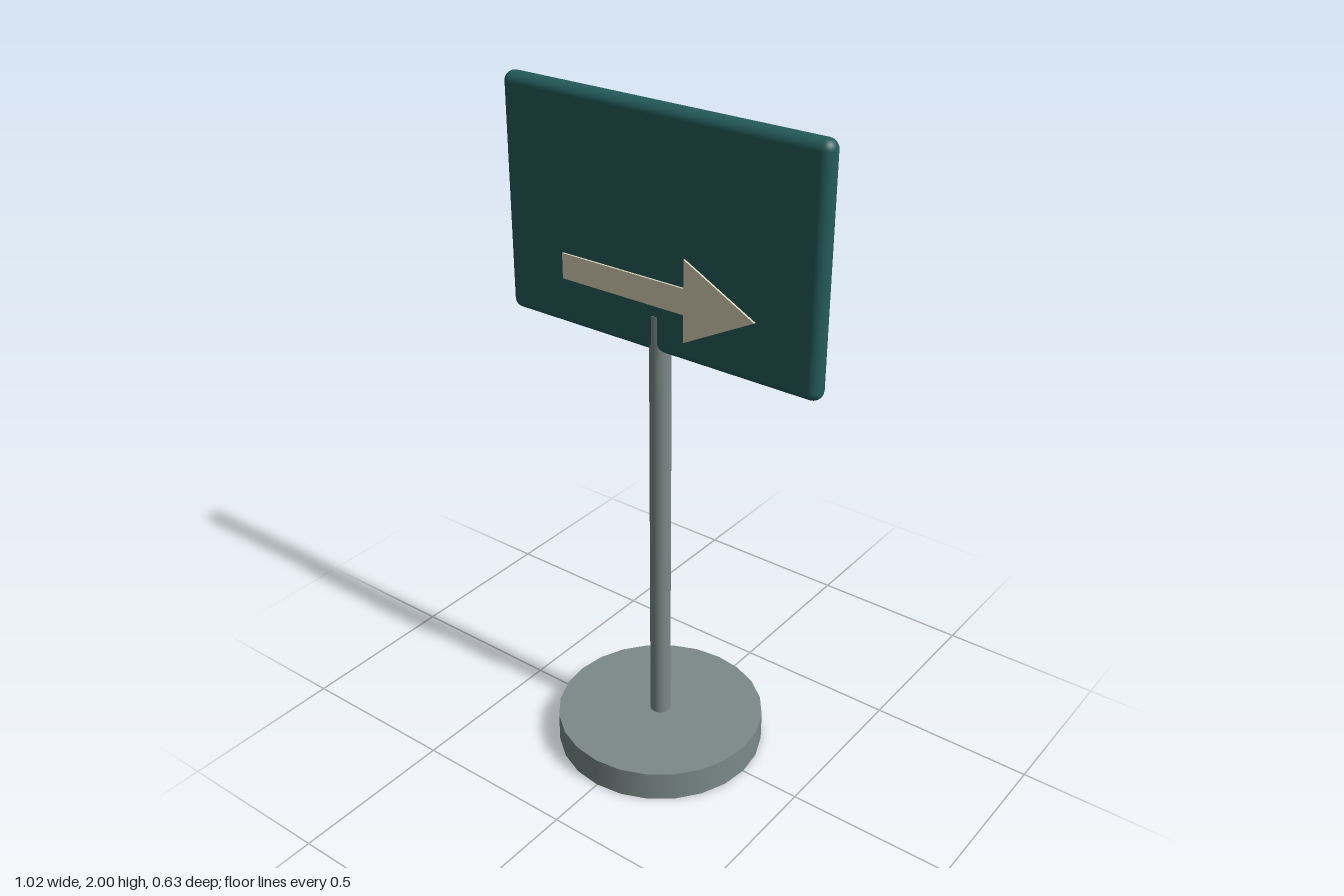
import * as THREE from 'three';
import { RoundedBoxGeometry } from 'three/addons/geometries/RoundedBoxGeometry.js';

const material = (name, color) => {
  const m = new THREE.MeshStandardMaterial({ color });
  m.name = name;
  return m;
};

export function createModel() {
  const group = new THREE.Group();
  group.name = 'signpost';
  const metal = material('grey metal', 0x7b8a89);
  const teal = material('teal board', 0x245c5b);
  const cream = material('cream arrow', 0xd8d0b6);
  const rubber = material('black rubber', 0x222627);

  const add = (name, geometry, mat, y = 0, z = 0) => {
    const mesh = new THREE.Mesh(geometry, mat);
    mesh.name = name;
    mesh.position.set(0, y, z);
    group.add(mesh);
  };
  // Upright cylinder between two heights
  const post = (name, radius, y0, y1, sides, mat) =>
    add(name, new THREE.CylinderGeometry(radius, radius, y1 - y0, sides), mat, (y0 + y1) / 2);

  // Stand
  post('basePad', 0.308, 0, 0.006, 24, rubber);
  post('base', 0.315, 0.002, 0.095, 24, metal);
  post('pole', 0.031, 0.09, 1.428, 16, metal);

  // Sign board with rounded edges
  add('board', new RoundedBoxGeometry(1.024, 0.68, 0.058, 3, 0.028), teal, 1.66);

  // Arrow plate in front of the board, pointing to the model's left
  const arrow = new THREE.Shape([
    [-0.302, -0.037], [0.107, -0.037], [0.107, -0.117], [0.328, 0],
    [0.107, 0.117], [0.107, 0.037], [-0.302, 0.037],
  ].map(([x, y]) => new THREE.Vector2(x, y)));
  add('arrow', new THREE.ExtrudeGeometry(arrow, { depth: 0.006, bevelEnabled: false }), cream, 1.503, 0.038);

  return group;
}
